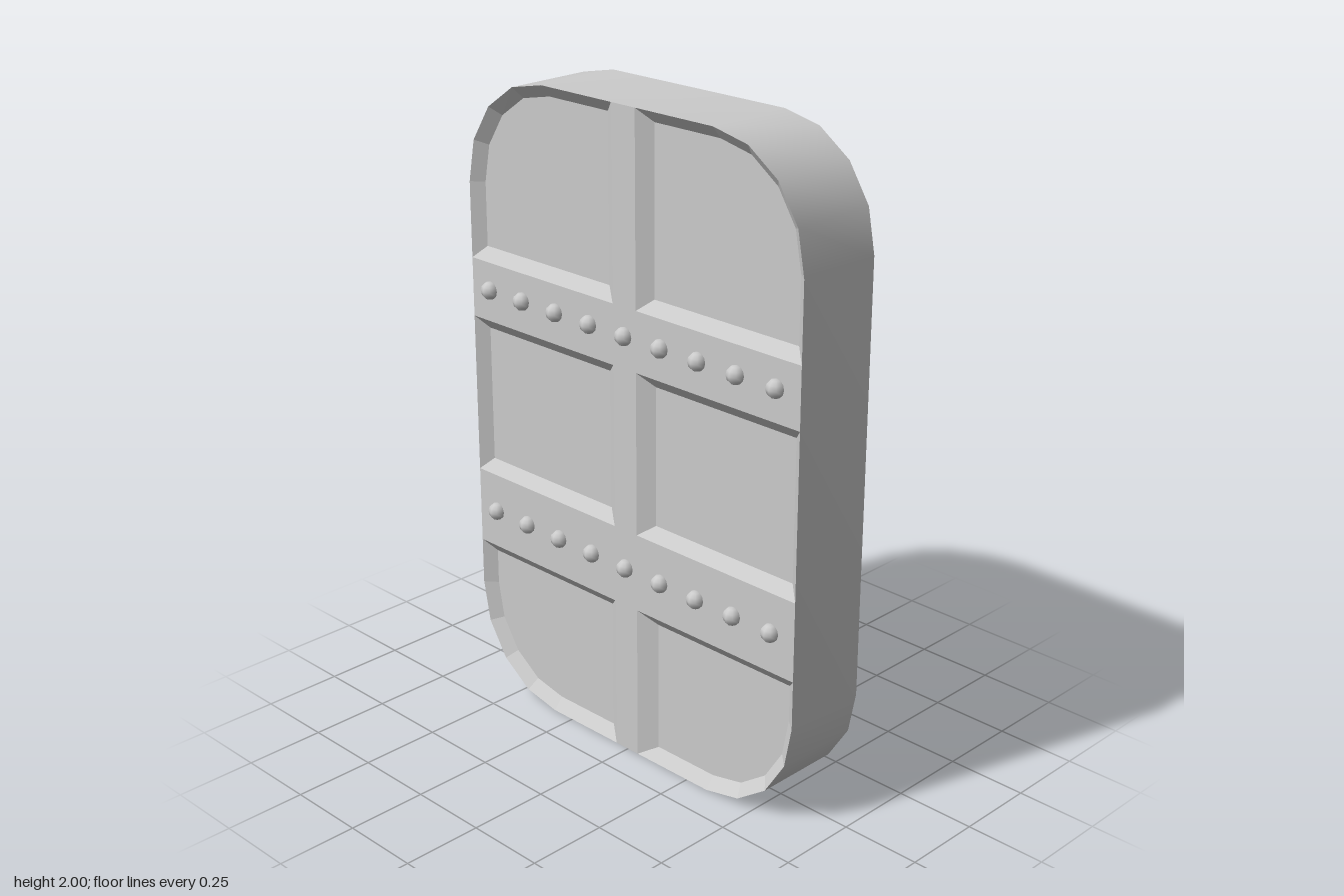
import * as THREE from 'three';
import { mergeGeometries, toCreasedNormals } from 'three/addons/utils/BufferGeometryUtils.js';

const W = 0.655, H = 2, Z = 0.14;        // half width, height, half thickness
const CX = 0.33, CY = 0.34;              // corner arc centre, measured from middle / ends
const DEPTH = 0.03, SLOPE = 0.037;       // panel recess and bevel width

const material = new THREE.MeshStandardMaterial({ color: 0xcccccc });

// Rounded corner on the +x side, four segments; inset shrinks the radius
function corner(top, inset) {
  const pts = [];
  for (let i = 0; i <= 4; i++) {
    const a = (top ? 0 : -Math.PI / 2) + (i * Math.PI) / 8;
    pts.push([CX + (W - CX - inset) * Math.cos(a),
      (top ? H - CY : CY) + (CY - inset) * Math.sin(a)]);
  }
  return pts;
}

const mirrorX = (pts) => pts.map(([x, y]) => [-x, y]).reverse();

// Counter-clockwise outline of one panel; round is 'top', 'bottom' or null
function panelLoop(side, inner, innerSlope, y0, y1, round, inset) {
  const xi = inner + (inset ? innerSlope : 0);
  const lo = y0 + inset, hi = y1 - inset;
  const pts = [
    [xi, lo],
    ...(round === 'bottom' ? corner(false, inset) : [[W - inset, lo]]),
    ...(round === 'top' ? corner(true, inset) : [[W - inset, hi]]),
    [xi, hi],
  ];
  return side > 0 ? pts : mirrorX(pts);
}

// Band between two matching counter-clockwise loops, facing inward if za > zb
function band(a, za, b, zb, smooth) {
  const pos = [];
  a.forEach((p, i) => {
    const j = (i + 1) % a.length;
    const A = [...p, za], B = [...a[j], za], C = [...b[j], zb], D = [...b[i], zb];
    pos.push(...A, ...B, ...C, ...A, ...C, ...D);
  });
  const geo = new THREE.BufferGeometry();
  geo.setAttribute('position', new THREE.Float32BufferAttribute(pos, 3));
  geo.computeVertexNormals();
  return smooth ? toCreasedNormals(geo, 0.6) : geo;
}

function flat(pts, z) {
  const geo = new THREE.ShapeGeometry(new THREE.Shape(pts.map((p) => new THREE.Vector2(...p))));
  geo.translate(0, 0, z);
  return geo;
}

const rect = (x0, x1, y0, y1) => flat([[x0, y0], [x1, y0], [x1, y1], [x0, y1]], Z);

function add(group, name, geometry) {
  const mesh = new THREE.Mesh(geometry, material);
  mesh.name = name;
  group.add(mesh);
  return mesh;
}

// One decorated face of the door
function createFace(name) {
  const face = new THREE.Group();
  face.name = name;
  const rows = [
    { y0: 0, y1: 0.49, round: 'bottom', rightSlope: 0.06 },
    { y0: 0.735, y1: 1.24, round: null, rightSlope: 0.05 },
    { y0: 1.425, y1: H, round: 'top', rightSlope: 0.045 },
  ];

  // Six recessed panels with bevelled borders
  for (const { y0, y1, round, rightSlope } of rows) {
    for (const side of [-1, 1]) {
      const inner = side > 0 ? 0.042 : 0.05;
      const slope = side > 0 ? rightSlope : 0.043;
      const rim = panelLoop(side, inner, slope, y0, y1, round, 0);
      const floor = panelLoop(side, inner, slope, y0, y1, round, SLOPE);
      add(face, 'panelBevel', band(rim, Z, floor, Z - DEPTH, false));
      add(face, 'panelFloor', flat(floor, Z - DEPTH));
    }
  }

  // Raised straps
  add(face, 'verticalStrap', mergeGeometries(rows.map((r) => rect(-0.05, 0.042, r.y0, r.y1))));
  add(face, 'lowerStrap', rect(-W, W, 0.49, 0.735));
  add(face, 'upperStrap', rect(-W, W, 1.24, 1.425));

  // Rivets along the horizontal straps
  const rivet = new THREE.SphereGeometry(0.028, 8, 6);
  for (const y of [0.615, 1.34]) {
    for (let i = -4; i <= 4; i++) {
      add(face, 'rivet', rivet).position.set(i * 0.143 - 0.002, y, Z + 0.004);
    }
  }
  return face;
}

export function createModel() {
  const door = new THREE.Group();
  door.name = 'rivetedDoor';

  // Outer edge wall
  const half = [...corner(false, 0), ...corner(true, 0)];
  const outline = [...half, ...mirrorX(half)];
  add(door, 'edgeWall', band(outline, -Z, outline, Z, true));

  // Same face on both sides, turned half round for the back
  door.add(createFace('frontFace'));
  const back = createFace('backFace');
  back.rotation.y = Math.PI;
  door.add(back);
  return door;
}
